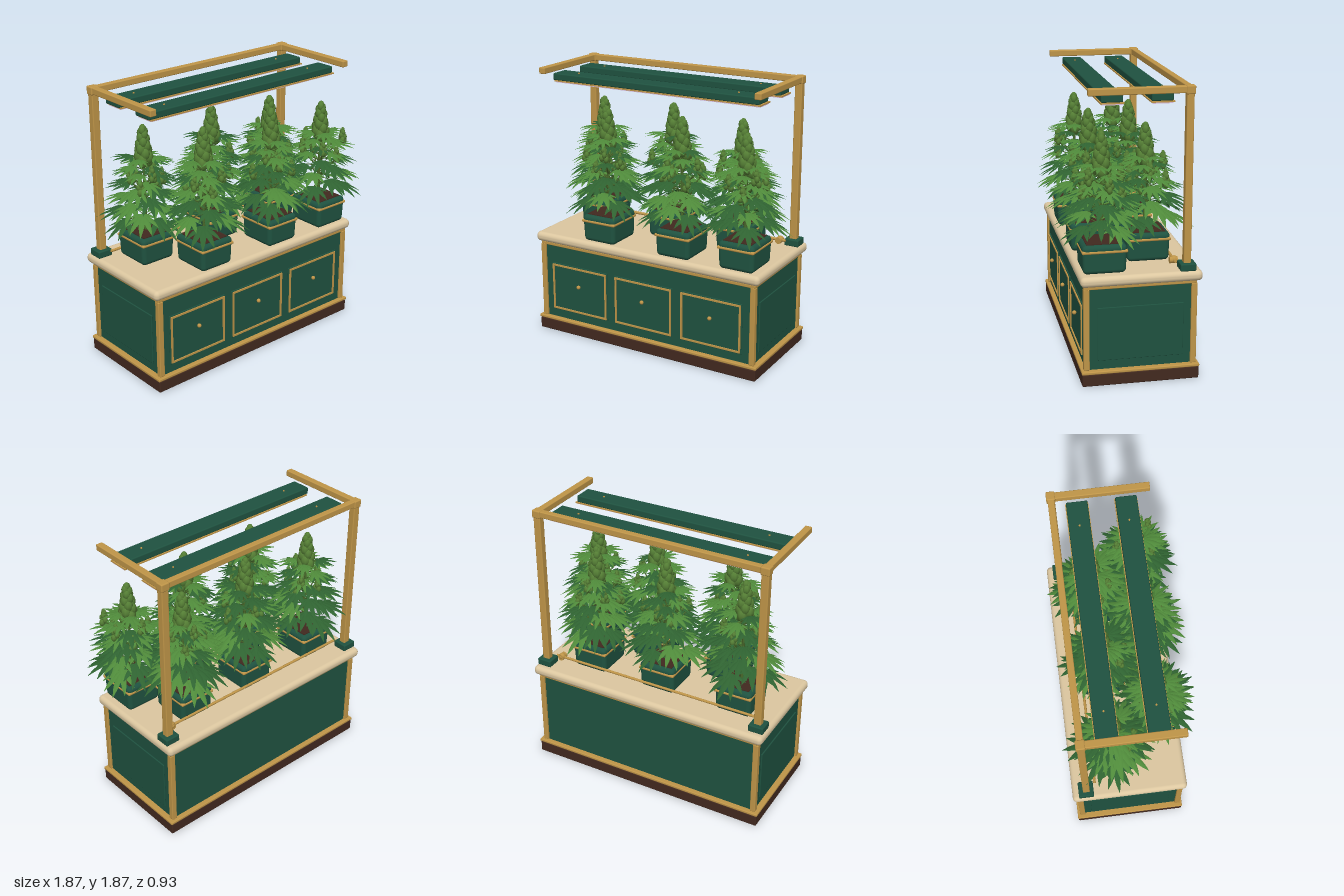
import * as THREE from 'three';
import { mergeGeometries } from 'three/addons/utils/BufferGeometryUtils.js';
import { RoundedBoxGeometry } from 'three/addons/geometries/RoundedBoxGeometry.js';

const paint = (name, color, side = THREE.FrontSide) => {
  const m = new THREE.MeshStandardMaterial({ color, side });
  m.name = name;
  return m;
};

export function createModel() {
  const green = paint('deep green', 0x1f5240), gold = paint('brass', 0xbf9548);
  const stone = paint('cream stone', 0xdcc7a0), brown = paint('dark wood', 0x42291f);
  const pink = paint('lamp pink', 0xdcc0e2), black = paint('black rubber', 0x1b1b1b);
  const leafLight = paint('light leaf', 0x4f8a3a, THREE.DoubleSide);
  const leafDark = paint('dark leaf', 0x2f6331, THREE.DoubleSide);
  const budGreen = paint('bud green', 0x557f35), stemGreen = paint('stem green', 0x4a6b2c);

  const model = new THREE.Group();
  model.name = 'plantBench';
  let seed = 7;
  const rand = () => (seed = (seed * 16807) % 2147483647) / 2147483647;
  const vary = (v, d) => v + (rand() * 2 - 1) * d;

  function add(name, geo, mat, parent = model) {
    const m = new THREE.Mesh(geo, mat);
    m.name = name;
    parent.add(m);
    return m;
  }
  // box from its limits, with optional rounded edges
  function box(name, mat, x0, x1, y0, y1, z0, z1, r = 0, parent = model) {
    const d = [x1 - x0, y1 - y0, z1 - z0];
    const geo = r ? new RoundedBoxGeometry(...d, 3, r) : new THREE.BoxGeometry(...d);
    geo.translate((x0 + x1) / 2, (y0 + y1) / 2, (z0 + z1) / 2);
    return add(name, geo, mat, parent);
  }
  const rod = (a, b, r0, r1 = r0, sides = 6) => {
    const va = new THREE.Vector3(...a), vb = new THREE.Vector3(...b), dir = vb.clone().sub(va);
    const g = new THREE.CylinderGeometry(r1, r0, dir.length(), sides);
    g.applyQuaternion(new THREE.Quaternion().setFromUnitVectors(new THREE.Vector3(0, 1, 0), dir.normalize()));
    return g.translate(...va.add(vb).multiplyScalar(0.5).toArray());
  };

  // cabinet
  box('plinth', brown, -0.905, 0.79, 0, 0.08, -0.44, 0.305, 0.008);
  box('baseTrim', gold, -0.91, 0.795, 0.08, 0.1, -0.443, 0.308, 0.006);
  box('cabinetBody', green, -0.872, 0.757, 0.1, 0.64, -0.41, 0.277);
  box('topTrim', gold, -0.885, 0.77, 0.632, 0.655, -0.423, 0.29, 0.005);
  box('counterTop', stone, -0.917, 0.8, 0.653, 0.72, -0.455, 0.312, 0.03);
  for (const x of [-0.887, 0.735])
    for (const z of [-0.425, 0.255]) box('cornerPost', gold, x, x + 0.037, 0.1, 0.635, z, z + 0.037, 0.005);

  // recessed-looking side panels
  box('sidePanel', green, -0.882, -0.872, 0.16, 0.51, -0.34, 0.205, 0.004);
  box('sidePanel', green, 0.757, 0.767, 0.16, 0.51, -0.34, 0.205, 0.004);

  // three doors with a brass frame and knob
  for (const x of [-0.573, -0.06, 0.453]) {
    const w = 0.228, y0 = 0.16, y1 = 0.508;
    box('door', green, x - w, x + w, y0, y1, 0.277, 0.286, 0.004);
    for (const s of [-1, 1]) {
      box('doorFrame', gold, x + s * (w - 0.014) - 0.006, x + s * (w - 0.014) + 0.006, y0 + 0.008, y1 - 0.008, 0.282, 0.294);
      const y = (y0 + y1) / 2 + s * ((y1 - y0) / 2 - 0.014);
      box('doorFrame', gold, x - w + 0.008, x + w - 0.008, y - 0.006, y + 0.006, 0.282, 0.294);
    }
    add('doorKnob', new THREE.SphereGeometry(0.014, 12, 8).translate(x, 0.367, 0.3), gold);
  }

  // lamp stand
  for (const x of [-0.853, 0.737]) {
    box('poleFoot', green, x - 0.052, x + 0.05, 0.718, 0.766, -0.412, -0.312, 0.008);
    box('pole', gold, x - 0.025, x + 0.025, 0.76, 1.84, -0.383, -0.337, 0.006);
    box('poleJoint', gold, x - 0.03, x + 0.03, 1.815, 1.868, -0.39, -0.333, 0.008);
    box('lampArm', gold, x - 0.023, x + 0.023, 1.822, 1.864, -0.36, 0.255, 0.006);
  }
  box('topBeam', gold, -0.86, 0.745, 1.822, 1.864, -0.382, -0.34, 0.006);

  // grow lamps
  for (const z of [-0.205, 0.102]) {
    box('lampHousing', green, -0.825, 0.705, 1.77, 1.817, z - 0.067, z + 0.067, 0.008);
    box('lampRim', gold, -0.81, 0.715, 1.763, 1.771, z - 0.072, z + 0.072);
    box('lampPanel', pink, -0.805, 0.71, 1.756, 1.764, z - 0.062, z + 0.062);
    for (const x of [-0.66, 0.535])
      add('lampScrew', new THREE.CylinderGeometry(0.006, 0.006, 0.008, 8).translate(x, 1.819, z), gold);
  }

  // watering rail with a valve
  add('waterRail', rod([-0.82, 0.757, -0.3], [0.7, 0.757, -0.3], 0.009, 0.009, 10), gold);
  add('valve', rod([0.66, 0.757, -0.32], [0.66, 0.757, -0.27], 0.022, 0.022, 12), gold);
  add('valveCap', new THREE.SphereGeometry(0.024, 12, 8).translate(0.66, 0.76, -0.3), gold);

  // one leaflet along +x, folded down its midrib; unit leaf length
  function leaflet(angle, len) {
    const rows = [[0, 0.012], [0.25, 0.07], [0.5, 0.105], [0.75, 0.07], [1, 0.002]];
    const pos = [], idx = [], c = Math.cos(angle), s = Math.sin(angle);
    rows.forEach(([t, w], i) => {
      for (const k of [-1, 0, 1]) {
        const x = t * len, z = k * w * (0.5 + len / 2);
        pos.push(x * c - z * s, -0.32 * t * t * len - Math.abs(k) * w * 0.35, x * s + z * c);
      }
      if (i) for (const k of [0, 1]) {
        const a = i * 3 - 3 + k;
        idx.push(a, a + 1, a + 3, a + 1, a + 4, a + 3);
      }
    });
    const g = new THREE.BufferGeometry();
    g.setAttribute('position', new THREE.Float32BufferAttribute(pos, 3));
    g.setIndex(idx);
    g.computeVertexNormals();
    return g;
  }
  const leafGeo = mergeGeometries([0, 1, 2, 3].flatMap((i) => (i ? [-1, 1] : [1]).map(
    (s) => leaflet(s * [0, 0.42, 0.88, 1.5][i], [1, 0.92, 0.74, 0.48][i]))));

  // bud spike: blobs spiralling round a tapering core
  function cola(x, y, z, h, r, count) {
    const parts = [new THREE.SphereGeometry(1, 8, 6).scale(r * 0.65, h * 0.48, r * 0.65).translate(x, y + h * 0.5, z)];
    for (let i = 0; i < count; i++) {
      const t = i / (count - 1), a = i * 2.4, taper = 1 - 0.72 * t ** 1.4;
      const size = r * (0.3 + 0.3 * taper), off = r * 0.55 * taper * (t < 1 ? 1 : 0);
      parts.push(new THREE.SphereGeometry(1, 8, 6).scale(size, size * 1.35, size)
        .translate(x + Math.cos(a) * off, y + r * 0.5 + t * (h - r * 0.95), z + Math.sin(a) * off));
    }
    return parts;
  }

  function pottedPlant(px, pz, top) {
    const g = new THREE.Group();
    g.name = 'pottedPlant';
    g.position.set(px, 0, pz);
    model.add(g);

    // pot, its bottom drawn in slightly
    const pot = new RoundedBoxGeometry(0.255, 0.185, 0.28, 4, 0.028).translate(0, 0.8125, 0);
    const p = pot.attributes.position;
    for (let i = 0; i < p.count; i++) {
      const k = 0.95 + 0.05 * (p.getY(i) - 0.72) / 0.185;
      p.setX(i, p.getX(i) * k);
      p.setZ(i, p.getZ(i) * k);
    }
    add('pot', pot, green, g);
    box('potBand', gold, -0.13, 0.13, 0.853, 0.873, -0.143, 0.143, 0.009, g);
    box('soil', brown, -0.1, 0.1, 0.9, 0.909, -0.112, 0.112, 0, g);

    const light = [], dark = [], stems = [rod([0, 0.9, 0], [0, top - 0.22, 0], 0.012, 0.007)];
    const turn = rand() * 6;
    // leaf tiers, widest at the bottom
    const tiers = 9;
    for (let i = 0; i < tiers; i++) {
      const t = i / (tiers - 1), y = 1.0 + t * (top - 1.255), n = 4;
      for (let j = 0; j < n; j++) {
        const a = turn + i * 0.87 + (j / n) * Math.PI * 2 + vary(0, 0.15);
        const reach = vary(0.125 - 0.07 * t, 0.012), len = vary(0.2 - 0.065 * t, 0.014), rise = 0.02 + 0.025 * t;
        const m = new THREE.Matrix4().makeRotationY(a)
          .multiply(new THREE.Matrix4().makeTranslation(reach, y + rise, 0))
          .multiply(new THREE.Matrix4().makeRotationZ(vary(-0.15 + 0.3 * t, 0.12)))
          .scale(new THREE.Vector3(len, len, len));
        (rand() < 0.3 + 0.45 * t ? light : dark).push(leafGeo.clone().applyMatrix4(m));
        stems.push(rod([0, y, 0], [Math.cos(a) * reach, y + rise, -Math.sin(a) * reach], 0.004, 0.003, 4));
      }
    }
    // main spike and smaller side spikes on branches
    const buds = cola(0, top - 0.27, 0, 0.27, 0.058, 24);
    for (let j = 0; j < 7; j++) {
      const a = turn + j * 2.4, r = vary(0.125, 0.03), y = 1.17 + 0.02 * j + vary(0, 0.015);
      const x = Math.cos(a) * r, z = Math.sin(a) * r;
      stems.push(rod([0, y - 0.12, 0], [x, y + 0.02, z], 0.006, 0.004, 5));
      buds.push(...cola(x, y, z, 0.11, 0.03, 9));
    }
    add('lightLeaves', mergeGeometries(light), leafLight, g);
    add('darkLeaves', mergeGeometries(dark), leafDark, g);
    add('stems', mergeGeometries(stems), stemGreen, g);
    add('buds', mergeGeometries(buds), budGreen, g);
  }

  // back row with drip tubes, then the front row
  for (const [x, top] of [[-0.635, 1.62], [-0.08, 1.635], [0.44, 1.59]]) {
    pottedPlant(x, -0.16, top);
    const path = new THREE.CatmullRomCurve3([[0.02, 0.757, -0.3], [0, 0.83, -0.215], [-0.02, 0.915, -0.1]]
      .map(([dx, y, z]) => new THREE.Vector3(x + 0.05 + dx * 2, y, z)));
    add('dripTube', new THREE.TubeGeometry(path, 8, 0.006, 6), black);
  }
  for (const [x, top] of [[-0.405, 1.635], [0.165, 1.635], [0.625, 1.585]]) pottedPlant(x, 0.153, top);

  return model;
}
